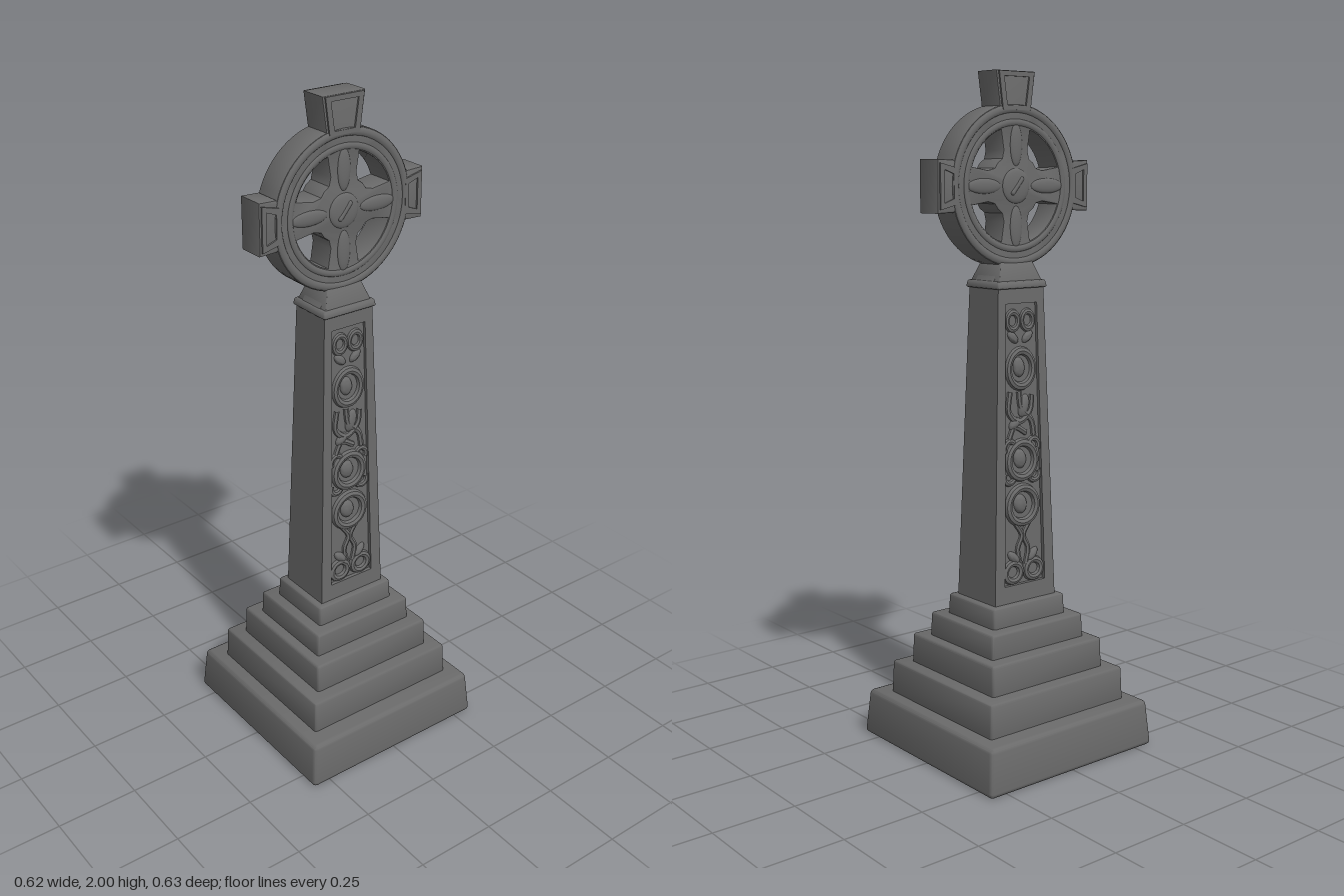
import * as THREE from 'three';
import { RoundedBoxGeometry } from 'three/addons/geometries/RoundedBoxGeometry.js';
import { toCreasedNormals } from 'three/addons/utils/BufferGeometryUtils.js';

const CY = 1.678; // height of the ring's centre
const SHAFT_Y0 = 0.45, SHAFT_Y1 = 1.395;

// Moves every vertex by a rule and rebuilds the normals
function reshape(geo, rule) {
  const p = geo.attributes.position, v = new THREE.Vector3();
  for (let i = 0; i < p.count; i++) {
    rule(v.fromBufferAttribute(p, i));
    p.setXYZ(i, v.x, v.y, v.z);
  }
  return toCreasedNormals(geo, 0.6);
}

// Soft-edged block whose half sizes change from bottom to top
function block(y0, y1, x0, z0, x1 = x0, z1 = z0, r = 0.008) {
  const h = y1 - y0;
  const geo = new RoundedBoxGeometry(2 * x0, h, 2 * z0, 2, r);
  return reshape(geo, v => {
    const t = v.y / h + 0.5;
    v.x *= 1 + (x1 / x0 - 1) * t;
    v.z *= 1 + (z1 / z0 - 1) * t;
    v.y += y0 + h / 2;
  });
}

// Narrowing of the shaft towards the top
const taper = geo => reshape(geo, v => {
  const t = (v.y - SHAFT_Y0) / (SHAFT_Y1 - SHAFT_Y0);
  v.x *= 1 - 0.27 * t;
  v.z *= 1 - 0.26 * t;
});

const polygon = (pts, Type = THREE.Shape) => new Type(pts.map(p => new THREE.Vector2(p[0], p[1])));
const rect = (x, y0, y1, Type) => polygon([[-x, y0], [x, y0], [x, y1], [-x, y1]], Type);

// Outline of the ringed head, with four openings
function headShape() {
  const right = [[0.083, 1.405], [0.068, 1.43], [0.056, 1.46]];
  const arc = (a, b) => {
    for (let i = 0; i <= 12; i++) {
      const t = THREE.MathUtils.degToRad(a + (b - a) * i / 12);
      right.push([0.228 * Math.cos(t), CY + 0.228 * Math.sin(t)]);
    }
  };
  arc(-74, -17);
  right.push([0.222, CY - 0.07], [0.274, CY - 0.072], [0.274, CY + 0.072], [0.222, CY + 0.07]);
  arc(17, 76);
  right.push([0.069, 1.996]);
  const left = right.map(([x, y]) => [-x, y]).reverse();
  const shape = polygon([...right, ...left]);
  for (const sx of [1, -1]) for (const sy of [1, -1]) {
    const pts = [];
    for (let i = 0; i <= 10; i++) {
      const t = THREE.MathUtils.degToRad(18 + 54 * i / 10);
      pts.push([0.167 * Math.cos(t), 0.167 * Math.sin(t)]);
    }
    pts.push([0.042, 0.1], [0.048, 0.075], [0.064, 0.064], [0.075, 0.048], [0.1, 0.042]);
    shape.holes.push(polygon(pts.map(([x, y]) => [x * sx, CY + y * sy]), THREE.Path));
  }
  return shape;
}

export function createModel() {
  const stone = new THREE.MeshStandardMaterial({ color: 0x6a6a6a });
  stone.name = 'grey stone';
  const model = new THREE.Group();
  model.name = 'ringedStoneCross';
  const add = (parent, name, geo) => {
    const mesh = new THREE.Mesh(geo, stone);
    mesh.name = name;
    parent.add(mesh);
    return mesh;
  };

  // Stepped plinth
  [
    [0, 0.14, 0.312, 0.318, 0.3, 0.305, 0.014],
    [0.13, 0.24, 0.256, 0.247, 0.252, 0.243],
    [0.23, 0.33, 0.211, 0.2, 0.208, 0.197],
    [0.32, 0.402, 0.176, 0.153, 0.173, 0.15],
    [0.39, 0.463, 0.138, 0.112, 0.135, 0.109],
  ].forEach((s, i) => add(model, 'plinthStep' + (i + 1), block(...s)));

  // Shaft core, collar and neck
  const core = new THREE.BoxGeometry(0.23, SHAFT_Y1 - SHAFT_Y0, 0.156);
  core.translate(0, (SHAFT_Y0 + SHAFT_Y1) / 2, 0);
  add(model, 'shaftCore', taper(core));
  add(model, 'collar', block(1.388, 1.41, 0.092, 0.077, 0.088, 0.073, 0.006));
  add(model, 'neck', block(1.4, 1.47, 0.083, 0.069, 0.056, 0.044, 0.004));

  // Ringed head
  const head = new THREE.ExtrudeGeometry(headShape(), {
    depth: 0.078, bevelEnabled: true, bevelSize: 0.004, bevelThickness: 0.004,
    bevelOffset: -0.002, bevelSegments: 2,
  });
  head.translate(0, 0, -0.039);
  add(model, 'ringedHead', toCreasedNormals(head, 0.6));

  // Carved faces, the same on front and back
  for (const side of ['front', 'back']) {
    const face = new THREE.Group();
    face.name = side + 'Carving';
    face.rotation.y = side === 'back' ? Math.PI : 0;
    model.add(face);

    // Border of the long panel
    const border = rect(0.115, SHAFT_Y0, SHAFT_Y1);
    border.holes.push(rect(0.078, 0.515, 1.345, THREE.Path));
    const frame = new THREE.ExtrudeGeometry(border, { depth: 0.013, bevelEnabled: false });
    frame.translate(0, 0, 0.077);
    add(face, 'panelBorder', taper(frame));

    // Flattened relief elements of the panel
    const Z = 0.078;
    const ring = (x, y, r, tube = 0.011, arc = Math.PI * 2, turn = 0) => {
      const g = new THREE.TorusGeometry(r, tube, 8, 28, arc);
      g.rotateZ(turn);
      g.scale(1.1, 1, 1.1);
      g.translate(x, y, Z);
      add(face, 'carvedRing', taper(g));
    };
    const boss = (x, y, rx, ry, turn = 0) => {
      const g = new THREE.SphereGeometry(1, 14, 10);
      g.scale(rx, ry, 0.013);
      g.rotateZ(turn);
      g.translate(x, y, Z);
      add(face, 'carvedBoss', taper(g));
    };
    const strand = (pts, r = 0.009) => {
      const path = new THREE.CatmullRomCurve3(pts.map(p => new THREE.Vector3(p[0], p[1], Z)));
      add(face, 'carvedStrand', taper(new THREE.TubeGeometry(path, 28, r, 7)));
    };

    // Medallions
    for (const y of [1.155, 0.885, 0.75]) {
      ring(0, y, 0.052, 0.013);
      boss(-0.008, y + 0.005, 0.026, 0.03, 0.4);
    }
    // Paired curls at the top and outer curls beside the middle medallion
    for (const s of [-1, 1]) {
      ring(s * 0.036, 1.295, 0.025, 0.01);
      boss(s * 0.035, 1.247, 0.028, 0.014, s * 0.5);
      ring(s * 0.052, 0.925, 0.02, 0.009, Math.PI, s < 0 ? 0.6 : -0.6);
      ring(s * 0.052, 0.84, 0.02, 0.009, Math.PI, s < 0 ? 2.6 : 3.7);
      // Leaves and curls at the foot
      ring(s * 0.04, 0.552, 0.027, 0.011);
      boss(s * 0.036, 0.595, 0.028, 0.014, s * 0.7);
      strand([[s * 0.01, 0.57], [s * 0.02, 0.62], [s * 0.004, 0.66], [s * 0.03, 0.7]]);
    }
    // Twisted beast between the medallions
    strand([[-0.05, 1.09], [-0.055, 1.03], [-0.01, 1.0], [0.04, 1.03], [0.05, 1.075]], 0.011);
    strand([[0.055, 0.955], [0.045, 1.0], [0, 1.04], [-0.01, 1.09]], 0.011);
    strand([[-0.055, 0.95], [-0.03, 0.985], [0.02, 0.965]], 0.01);
    boss(0.012, 1.045, 0.022, 0.036, -0.4);
    boss(-0.03, 0.995, 0.026, 0.016, 0.5);

    // Raised rims around the ring
    for (const [r, tube] of [[0.216, 0.012], [0.178, 0.01]]) {
      const g = new THREE.TorusGeometry(r, tube, 8, 64);
      g.scale(1, 1, 0.5);
      g.translate(0, CY, 0.042);
      add(face, 'ringRim', g);
    }

    // Arms: framed ends and tapered ridges meeting at the hub
    for (let k = 0; k < 4; k++) {
      const arm = new THREE.Group();
      arm.name = 'armCarving';
      arm.position.y = CY;
      arm.rotation.z = k * Math.PI / 2;
      face.add(arm);
      const ridge = new THREE.SphereGeometry(1, 16, 10);
      ridge.scale(0.022, 0.06, 0.008);
      ridge.translate(0, 0.115, 0.042);
      add(arm, 'armRidge', ridge);
      if (k === 2) continue;
      const far = k === 0 ? 0.318 : 0.27;
      const outer = polygon([[-0.05, 0.212], [0.05, 0.212], [0.064, far], [-0.064, far]]);
      outer.holes.push(polygon([[-0.034, 0.224], [0.034, 0.224], [0.046, far - 0.014], [-0.046, far - 0.014]], THREE.Path));
      const plate = new THREE.ExtrudeGeometry(outer, { depth: 0.006, bevelEnabled: false });
      plate.translate(0, 0, 0.042);
      add(arm, 'armEndFrame', plate);
    }
    const hub = new THREE.SphereGeometry(1, 20, 12);
    hub.scale(0.05, 0.05, 0.01);
    hub.translate(0, CY, 0.042);
    add(face, 'hubBoss', hub);
    const bar = new THREE.CapsuleGeometry(0.008, 0.05, 4, 8);
    bar.rotateZ(-0.7);
    bar.translate(0, CY, 0.047);
    add(face, 'hubTwist', bar);
  }
  return model;
}
